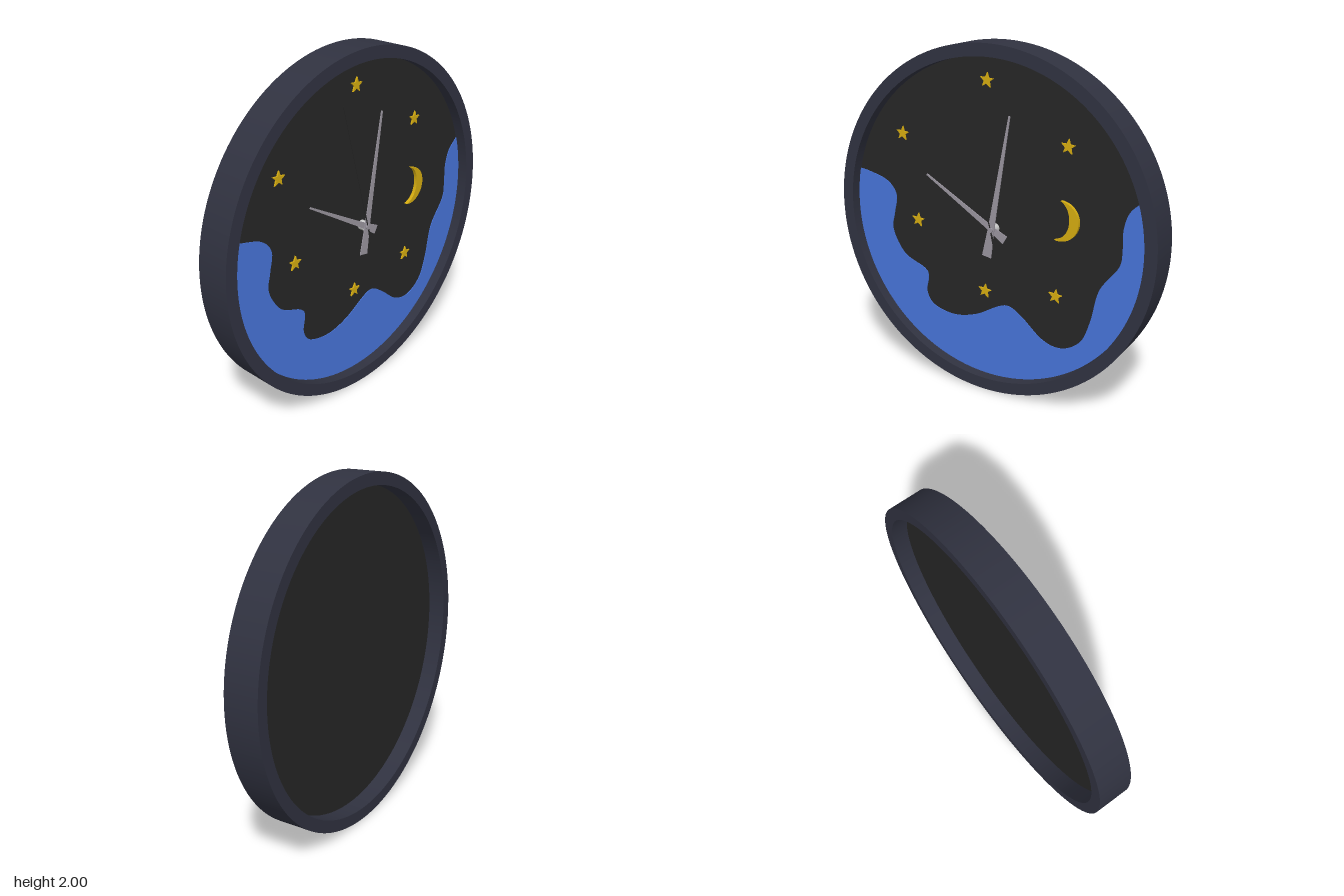
import * as THREE from 'three';

const V = (x, y) => new THREE.Vector2(x, y);
const mat = (color) => new THREE.MeshStandardMaterial({ color });

// Flat cut-out of a shape, standing between z0 and z1
function plate(name, shape, z0, z1, material, curveSegments = 24) {
  const geo = new THREE.ExtrudeGeometry(shape, { depth: z1 - z0, bevelEnabled: false, curveSegments });
  const mesh = new THREE.Mesh(geo, material);
  mesh.position.z = z0;
  mesh.name = name;
  return mesh;
}

// Tapered hand pointing from the pivot to (dx, dy), with a wider tail behind it
function hand(name, dx, dy, tail, wTail, wBase, wTip, z0, z1, material) {
  const len = Math.hypot(dx, dy);
  const half = [V(wTail, -tail), V(wBase, 0), V(wBase * 0.85, len * 0.15), V(wTip, len)];
  const outline = [...half, ...half.map((p) => V(-p.x, p.y)).reverse()];
  const mesh = plate(name, new THREE.Shape(outline), z0, z1, material);
  mesh.rotation.z = Math.atan2(dy, dx) - Math.PI / 2;
  return mesh;
}

function starShape(r) {
  const pts = [];
  for (let i = 0; i < 10; i++) {
    const a = Math.PI / 2 - 0.09 + (i * Math.PI) / 5;
    const d = i % 2 ? r * 0.42 : r;
    pts.push(V(d * Math.cos(a), d * Math.sin(a)));
  }
  return new THREE.Shape(pts);
}

export function createModel() {
  const model = new THREE.Group();
  const clock = new THREE.Group();
  clock.name = 'wallClock';
  clock.position.y = 1;
  model.add(clock);

  const frameMat = mat(0x303240), faceMat = mat(0x262626), blueMat = mat(0x4774d8);
  const goldMat = mat(0xd4ab10), handMat = mat(0x99949e);
  const R = 0.93;

  // Round frame
  const ring = new THREE.Shape().absarc(0, 0, 1, 0, Math.PI * 2);
  ring.holes.push(new THREE.Path().absarc(0, 0, R, 0, Math.PI * 2, true));
  clock.add(plate('frame', ring, -0.1, 0.1, frameMat, 128));

  // Recessed dial
  const dial = new THREE.Mesh(new THREE.CylinderGeometry(R, R, 0.035, 128), faceMat);
  dial.rotation.x = Math.PI / 2;
  dial.position.z = 0.0175;
  dial.name = 'dial';
  clock.add(dial);

  // Wavy blue field along the lower dial
  const shore = [
    [-0.908, 0.2], [-0.84, 0.19], [-0.71, 0.15], [-0.648, 0.07], [-0.665, -0.04], [-0.68, -0.15],
    [-0.6, -0.285], [-0.46, -0.35], [-0.43, -0.4], [-0.443, -0.5], [-0.39, -0.575], [-0.25, -0.604],
    [-0.1, -0.568], [0.05, -0.485], [0.125, -0.47], [0.21, -0.52], [0.34, -0.625], [0.46, -0.645],
    [0.57, -0.575], [0.625, -0.44], [0.67, -0.25], [0.775, -0.1], [0.79, 0], [0.79, 0.11],
    [0.82, 0.205], [0.889, 0.272],
  ].map(([x, y]) => V(x, y));
  const wave = new THREE.SplineCurve(shore).getPoints(150);
  const a0 = Math.atan2(0.272, 0.889), a1 = Math.atan2(0.2, -0.908) - Math.PI * 2;
  for (let i = 1; i < 96; i++) {
    const a = a0 + ((a1 - a0) * i) / 96;
    wave.push(V(R * Math.cos(a), R * Math.sin(a)));
  }
  clock.add(plate('blueField', new THREE.Shape(wave), 0.034, 0.039, blueMat));

  // Stars
  const spots = [[-0.02, 0.8], [0.467, 0.5], [-0.585, 0.45], [-0.492, -0.055], [-0.036, -0.405], [0.413, -0.34]];
  for (const [x, y] of spots) {
    const star = plate('star', starShape(0.043), 0.034, 0.045, goldMat);
    star.position.x = x;
    star.position.y = y;
    clock.add(star);
  }

  // Crescent moon
  const moon = new THREE.Shape();
  moon.absarc(0.433, 0.098, 0.112, -1.83, 1.53);
  moon.bezierCurveTo(0.512, 0.175, 0.517, 0.015, 0.404, -0.01);
  clock.add(plate('moon', moon, 0.034, 0.055, goldMat));

  // Hands on their spindle
  const hands = new THREE.Group();
  hands.name = 'hands';
  hands.position.set(0.028, -0.015, 0);
  hands.add(hand('hourHand', -0.43, 0.255, 0.097, 0.026, 0.018, 0.005, 0.066, 0.072, handMat));
  hands.add(hand('minuteHand', 0.113, 0.645, 0.165, 0.029, 0.02, 0.005, 0.075, 0.081, handMat));
  hands.add(hand('secondHand', -0.195, 0.745, 0.12, 0.009, 0.003, 0.0015, 0.084, 0.087, faceMat));
  const spindle = new THREE.Mesh(new THREE.CylinderGeometry(0.028, 0.028, 0.04, 32), mat(0xcccccc));
  spindle.rotation.x = Math.PI / 2;
  spindle.position.z = 0.05;
  spindle.name = 'spindle';
  const cap = new THREE.Mesh(new THREE.CylinderGeometry(0.014, 0.014, 0.02, 24), handMat);
  cap.rotation.x = Math.PI / 2;
  cap.position.z = 0.08;
  cap.name = 'spindleCap';
  hands.add(spindle, cap);
  clock.add(hands);

  return model;
}
